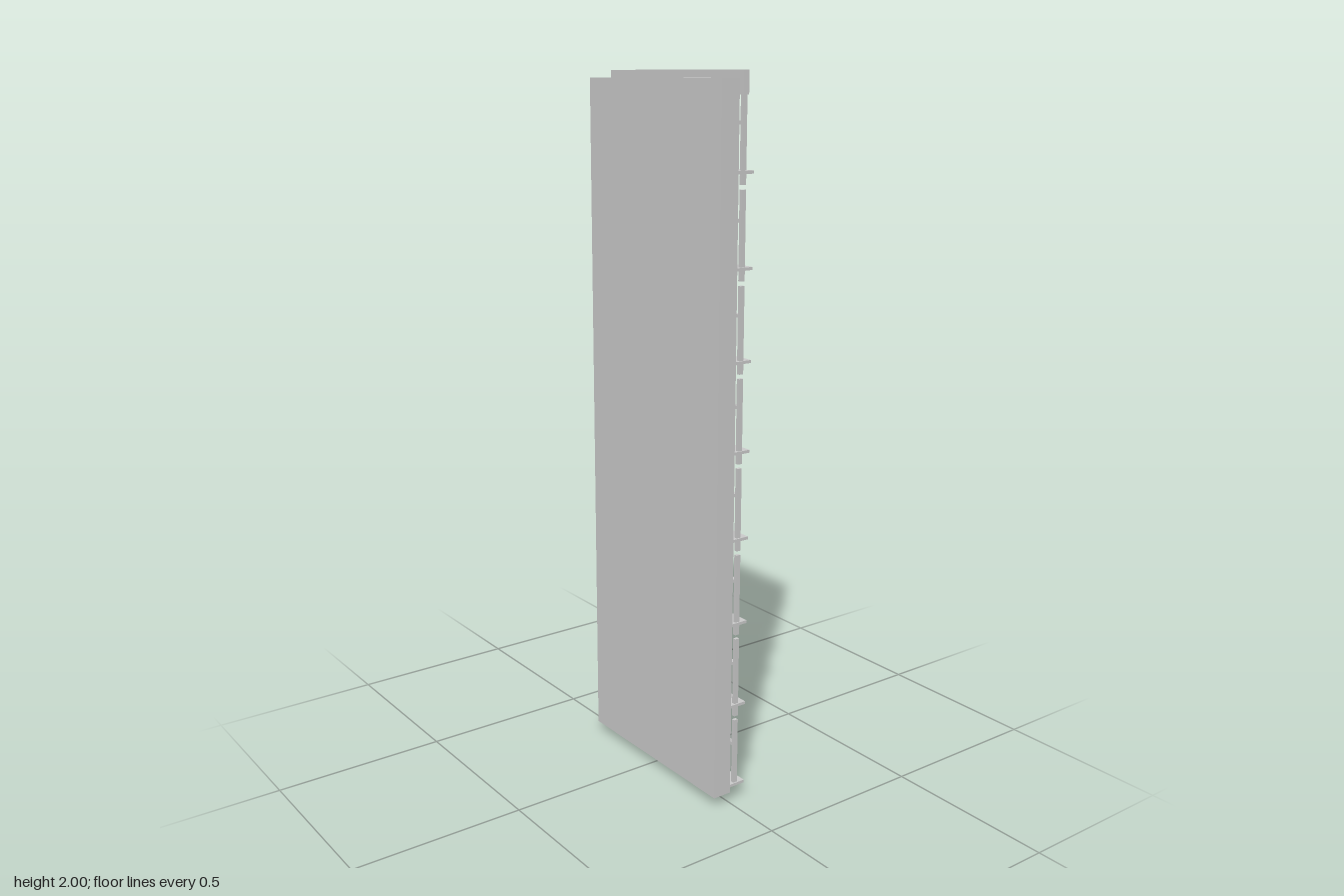
import * as THREE from 'three';

const material = new THREE.MeshStandardMaterial({ color: 0xcccccc, flatShading: true });

// Box given by its min and max on each axis
function slab(parent, name, [x0, x1], [y0, y1], [z0, z1]) {
  const mesh = new THREE.Mesh(new THREE.BoxGeometry(x1 - x0, y1 - y0, z1 - z0), material);
  mesh.position.set((x0 + x1) / 2, (y0 + y1) / 2, (z0 + z1) / 2);
  mesh.name = name;
  parent.add(mesh);
  return mesh;
}

// Small trapezoid bracket standing on a thin ledge
function bracket(parent, x, y) {
  const group = new THREE.Group();
  group.name = 'bracket';
  const shape = new THREE.Shape([
    new THREE.Vector2(-0.04, 0), new THREE.Vector2(0.04, 0),
    new THREE.Vector2(0.027, 0.055), new THREE.Vector2(-0.027, 0.055),
  ]);
  const plate = new THREE.Mesh(
    new THREE.ExtrudeGeometry(shape, { depth: 0.004, bevelEnabled: false }), material);
  plate.name = 'bracketPlate';
  plate.position.z = -0.007;
  group.add(plate);
  slab(group, 'bracketLedge', [-0.046, 0.046], [-0.004, 0], [-0.016, -0.003]);
  group.position.set(x, y, 0);
  parent.add(group);
}

export function createModel() {
  const model = new THREE.Group();
  model.name = 'wallPanel';
  const rows = 8, pitch = 0.2435, gap = 0.012;
  const left = 0.315, right = -0.27;
  const barZ = [-0.031, -0.018];

  // Front slab
  slab(model, 'frontPanel', [right, left], [0.03, 1.98], [-0.003, 0.053]);

  // Top rail behind the slab
  slab(model, 'topRail', [right, left], [1.94, 2.0], [-0.033, -0.017]);

  // Rows of side strip, ribs and lattice
  for (let i = 0; i < rows; i++) {
    const bottom = i === 0 ? 0 : i * pitch + 0.0155;
    const top = (i + 1) * pitch + 0.0155 - gap;
    const ribY = 0.05 + i * 0.243;
    slab(model, 'sideStrip', [-0.315, -0.235], [bottom, i === rows - 1 ? 1.96 : top], [-0.033, -0.018]);
    slab(model, 'rib', [right, left], [ribY - 0.004, ribY + 0.004], [-0.053, -0.003]);
    slab(model, 'crossBar', [-0.235, 0.31], [ribY + 0.117, ribY + 0.126], barZ);
    for (const x of [0.306, 0.16, 0.012, -0.133]) {
      slab(model, 'uprightBar', [x - 0.005, x + 0.005],
        [Math.max(bottom, 0.045), i === rows - 1 ? 1.94 : top], barZ);
    }
  }

  // Brackets on the back of the slab
  bracket(model, 0.105, 0.925);
  bracket(model, -0.18, 0.085);
  return model;
}
